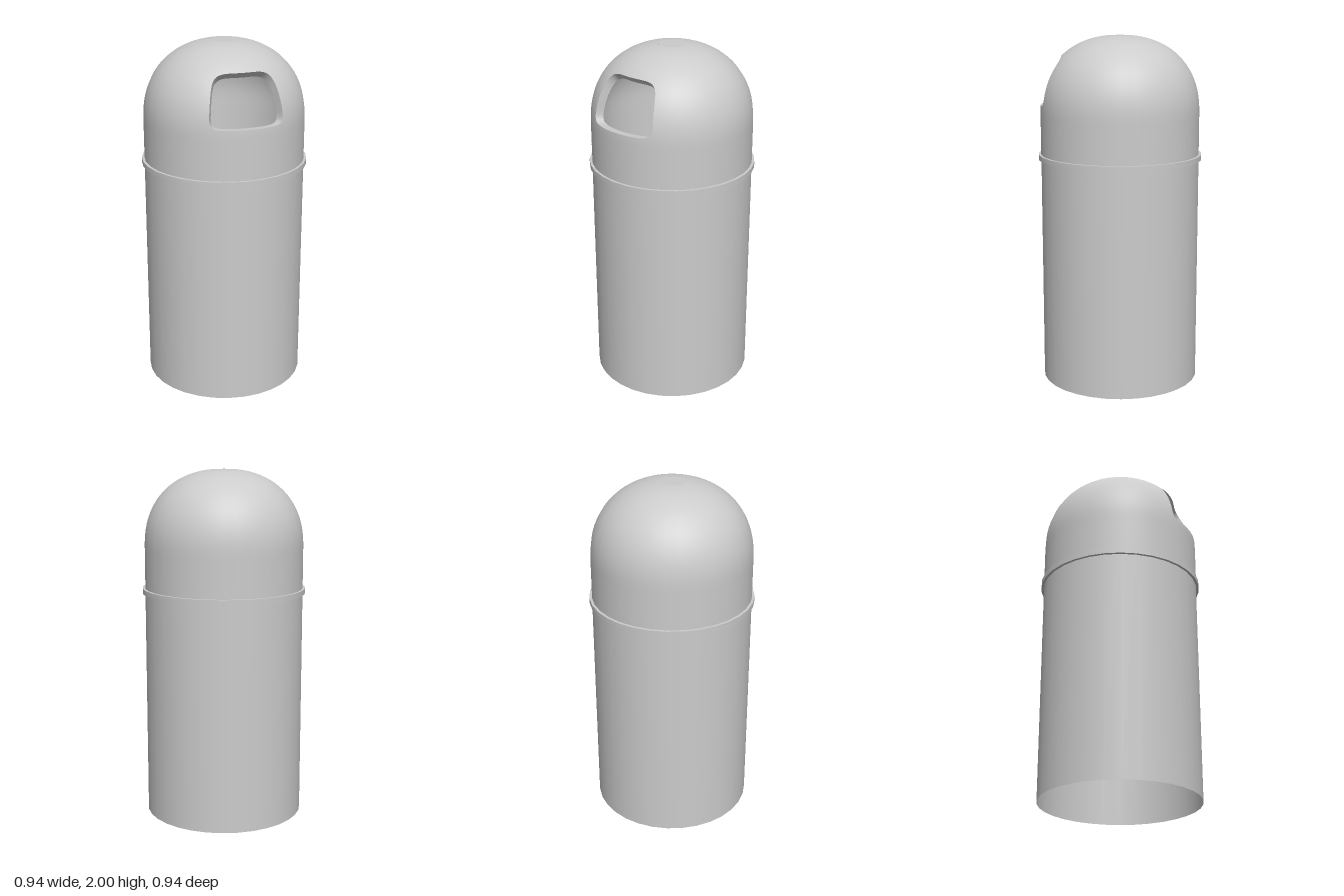
import * as THREE from 'three';
import { toCreasedNormals } from 'three/addons/utils/BufferGeometryUtils.js';

const SIDES = 32, RADIUS = 0.455, RIM_Y = 1.31, SHOULDER_Y = 1.56, THICK = 0.045;
const STEP = (2 * Math.PI) / SIDES;
const ROWS = 28;

// Dome profile: s = 0 at the rim, s = 1 at the small flat cap.
function profile(s) {
  if (s < 0.3) return [RADIUS, RIM_Y + (SHOULDER_Y - RIM_Y) * s / 0.3];
  const phi = ((s - 0.3) / 0.7) * 1.438, e = 2 / 2.25;
  return [RADIUS * Math.cos(phi) ** e, SHOULDER_Y + 0.443 * Math.sin(phi) ** e];
}

// Point and outward normal on the lid, sunk inwards by depth.
function lidPoint(theta, s, depth) {
  const [r, y] = profile(s);
  const a = profile(Math.max(0, s - 0.01)), b = profile(Math.min(1, s + 0.01));
  const n = new THREE.Vector2(b[1] - a[1], a[0] - b[0]).normalize();
  const R = Math.max(0, r - n.x * depth);
  return {
    p: [R * Math.sin(theta), y - n.y * depth, R * Math.cos(theta)],
    n: [n.x * Math.sin(theta), n.y, n.x * Math.cos(theta)],
  };
}

// Grid of quads; at(i, j) gives { p, n }. Flip turns the faces inwards.
function grid(nu, nv, at, flip = false) {
  const pos = [], nor = [], idx = [];
  for (let j = 0; j <= nv; j++) {
    for (let i = 0; i <= nu; i++) {
      const { p, n } = at(i, j);
      pos.push(...p);
      nor.push(...n.map((c) => (flip ? -c : c)));
      if (i < nu && j < nv) {
        const a = j * (nu + 1) + i, b = a + 1, d = a + nu + 1, c = d + 1;
        idx.push(...(flip ? [a, c, b, a, d, c] : [a, b, c, a, c, d]));
      }
    }
  }
  const g = new THREE.BufferGeometry();
  g.setAttribute('position', new THREE.Float32BufferAttribute(pos, 3));
  g.setAttribute('normal', new THREE.Float32BufferAttribute(nor, 3));
  g.setIndex(idx);
  return g;
}

// Front patch around the opening: a square loop blended into the hole outline.
const PATCH_MID = -STEP, PATCH_HALF = 6 * STEP, ACROSS = 24;
const LOOP = 2 * (ACROSS + ROWS);
const HOLE = { theta: -0.157, s: 0.5135, a: 0.475, b: 0.1715 };

function squareLoop(i) {
  i %= LOOP;
  if (i < ACROSS) return [-1 + 2 * i / ACROSS, -1];
  i -= ACROSS;
  if (i < ROWS) return [1, -1 + 2 * i / ROWS];
  i -= ROWS;
  if (i < ACROSS) return [1 - 2 * i / ACROSS, 1];
  return [-1, 1 - 2 * (i - ACROSS) / ROWS];
}

function patchCoords(i, t) {
  const [x, y] = squareLoop(i);
  // Rounder corners at the top of the opening than at the bottom
  const e = y > 0 ? 4.5 : 9;
  const k = (Math.abs(x) ** e + Math.abs(y) ** e) ** (-1 / e);
  return [
    THREE.MathUtils.lerp(PATCH_MID + PATCH_HALF * x, HOLE.theta + HOLE.a * x * k, t),
    THREE.MathUtils.lerp((y + 1) / 2, HOLE.s + HOLE.b * y * k, t),
  ];
}

export function createModel() {
  const group = new THREE.Group();
  const material = new THREE.MeshStandardMaterial({ color: 0xcccccc, side: THREE.DoubleSide });
  const add = (parent, name, geometry) => {
    const mesh = new THREE.Mesh(geometry, material);
    mesh.name = name;
    parent.add(mesh);
    return mesh;
  };

  // Open tube body
  add(group, 'body', new THREE.CylinderGeometry(RADIUS, RADIUS, RIM_Y, SIDES, 1, true))
    .position.y = RIM_Y / 2;

  // Thin band where the lid meets the body
  const band = [[RADIUS - 0.003, 1.3], [0.47, 1.3], [0.47, 1.33], [RADIUS - 0.003, 1.33]]
    .map(([x, y]) => new THREE.Vector2(x, y));
  add(group, 'rimBand', toCreasedNormals(new THREE.LatheGeometry(band, SIDES), 0.6));

  const lid = new THREE.Group();
  lid.name = 'lid';
  group.add(lid);

  // Outer and inner dome shells
  for (const [label, depth] of [['Outer', 0], ['Inner', THICK]]) {
    const flip = depth > 0;
    add(lid, `dome${label}`, grid(SIDES - 12, ROWS, (i, j) =>
      lidPoint(PATCH_MID + PATCH_HALF + i * STEP, j / ROWS, depth), flip));
    add(lid, `domeFront${label}`, grid(LOOP, 10, (i, j) =>
      lidPoint(...patchCoords(i, j / 10), depth), flip));
    const top = lidPoint(0, 1, depth).p;
    const cap = add(lid, `cap${label}`, new THREE.CircleGeometry(top[2], SIDES));
    cap.rotation.x = flip ? Math.PI / 2 : -Math.PI / 2;
    cap.position.y = top[1];
  }

  // Wall of the opening, joining both shells
  const wall = grid(LOOP, 1, (i, j) => lidPoint(...patchCoords(i, 1), j * THICK));
  add(lid, 'openingWall', toCreasedNormals(wall, 0.6));

  // Underside lip of the lid
  const lip = add(lid, 'lidLip', new THREE.RingGeometry(RADIUS - THICK, RADIUS, SIDES));
  lip.rotation.x = Math.PI / 2;
  lip.position.y = RIM_Y;

  return group;
}
